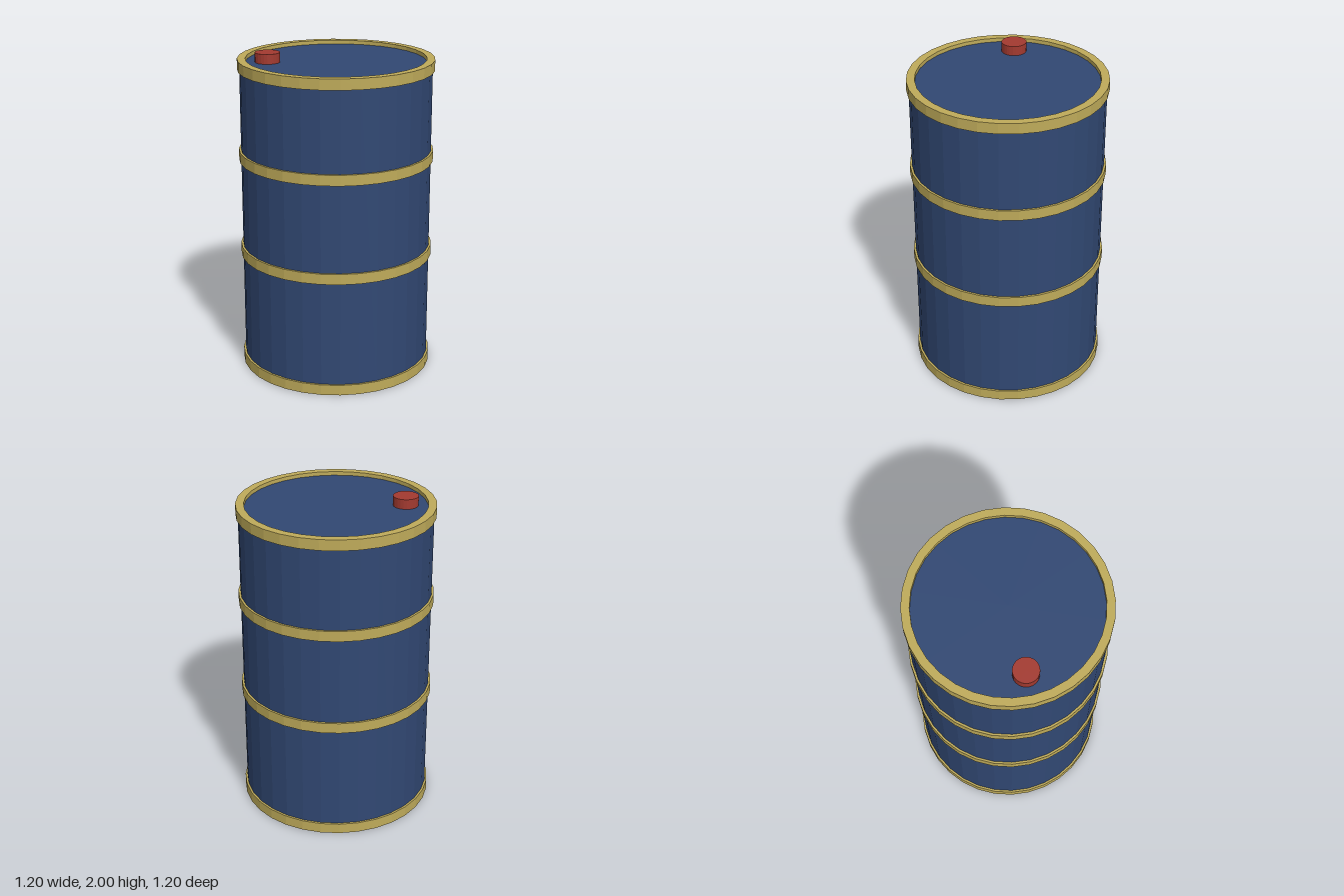
import * as THREE from 'three';

const SIDES = 32;
const BODY_R = 0.587, RING_R = 0.6, RIM_R = 0.55;
const RING_H = 0.066, LID_Y = 1.94, RIM_Y = 1.964;

const flat = (name, color) => {
  const m = new THREE.MeshStandardMaterial({ color, flatShading: true });
  m.name = name;
  return m;
};

// Turned part from [radius, height] pairs, listed upwards along the outside
const turned = (name, profile, material) => {
  const points = profile.map(([r, y]) => new THREE.Vector2(r, y));
  const mesh = new THREE.Mesh(new THREE.LatheGeometry(points, SIDES), material);
  mesh.name = name;
  return mesh;
};

export function createModel() {
  const blue = flat('bluePaint', 0x314873);
  const gold = flat('goldBand', 0xbfab5a);
  const red = flat('redCap', 0xa33a30);

  const barrel = new THREE.Group();
  barrel.name = 'barrel';

  // Body with its wide base plate and recessed lid
  barrel.add(turned('body', [
    [0, 0], [RING_R, 0], [BODY_R, 0.01], [BODY_R, LID_Y], [0, LID_Y],
  ], blue));

  // Bottom band, closed below by the base plate
  barrel.add(turned('bottomBand', [
    [RING_R, 0], [RING_R, RING_H], [BODY_R, RING_H],
  ], gold));

  // Two hoops around the middle
  [['lowerHoop', 0.724], ['upperHoop', 1.335]].forEach(([name, y]) => {
    barrel.add(turned(name, [
      [BODY_R, y], [RING_R, y], [RING_R, y + RING_H], [BODY_R, y + RING_H],
    ], gold));
  });

  // Top rim standing above the lid
  barrel.add(turned('topRim', [
    [BODY_R, RIM_Y - RING_H], [RING_R, RIM_Y - RING_H], [RING_R, RIM_Y],
    [RIM_R, RIM_Y], [RIM_R, LID_Y],
  ], gold));

  // Bung cap on the lid, at the model's right
  const capHeight = 2 - LID_Y;
  const cap = new THREE.Mesh(new THREE.CylinderGeometry(0.077, 0.077, capHeight, 24), red);
  cap.name = 'bungCap';
  cap.position.set(-0.415, LID_Y + capHeight / 2, 0);
  barrel.add(cap);

  return barrel;
}
